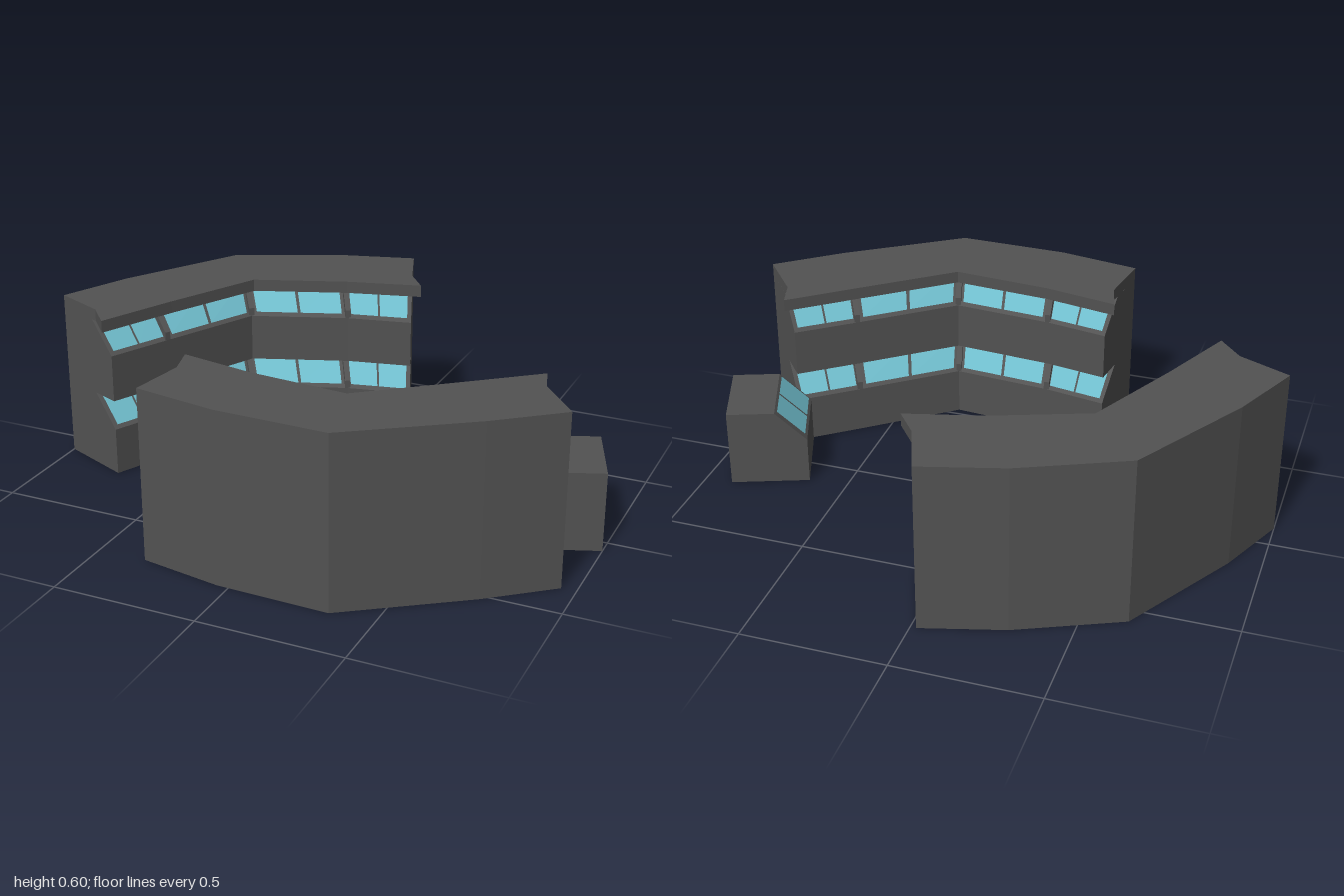
import * as THREE from 'three';

const concrete = new THREE.MeshStandardMaterial({ color: 0x525252 });
concrete.name = 'dark grey concrete';
concrete.flatShading = true;
const glass = new THREE.MeshStandardMaterial({ color: 0x6fbccb });
glass.name = 'blue glass';
glass.side = THREE.DoubleSide;

const SLOPE = 0.11; // depth and height of each leaning window band

// Plan points [x, z], listed along the building with the window side on the right.
const backBlock = {
  outer: [[-1, 0.1], [-0.89, -0.15], [-0.65, -0.56], [-0.3, -0.72], [-0.02, -0.8]],
  sill: [[-0.745, 0.21], [-0.645, -0.01], [-0.485, -0.355], [-0.15, -0.48], [0.08, -0.53]],
  eave: [[-0.74, 0.27], [-0.62, 0], [-0.46, -0.33], [-0.14, -0.45], [0.12, -0.52]],
  notch: [[-0.82, 0.18], [0.05, -0.61]],
};
const frontBlock = {
  outer: [[0.95, 0.35], [0.74, 0.52], [0.35, 0.79], [-0.04, 0.78], [-0.33, 0.73]],
  sill: [[0.78, 0.14], [0.595, 0.285], [0.29, 0.53], [-0.065, 0.5], [-0.29, 0.46]],
  eave: [[0.79, 0.09], [0.58, 0.26], [0.28, 0.5], [-0.07, 0.47], [-0.33, 0.42]],
  notch: [[0.82, 0.19], [-0.3, 0.53]],
};
const boothPlan = {
  outer: [[0.9, -0.21], [1, 0.06]],
  sill: [[0.64, -0.11], [0.74, 0.16]],
};

// Point at station i: depth 0 is the sill line, positive depth goes towards the outer wall.
function at(plan, i, depth, y) {
  const [ox, oz] = plan.outer[i];
  const [sx, sz] = plan.sill[i];
  const len = Math.hypot(ox - sx, oz - sz);
  const k = depth === null ? 1 : depth / len;
  return new THREE.Vector3(sx + (ox - sx) * k, y, sz + (oz - sz) * k);
}

function meshFrom(triangles, material, name) {
  const geometry = new THREE.BufferGeometry().setFromPoints(triangles);
  geometry.computeVertexNormals();
  const mesh = new THREE.Mesh(geometry, material);
  mesh.name = name;
  return mesh;
}

// Sweep a [depth, y] profile through all stations and cap both ends.
function sweep(plan, profile, name) {
  const rings = plan.outer.map((_, i) => profile.map(([d, y]) => at(plan, i, d, y)));
  const tris = [];
  const n = profile.length;
  for (let i = 0; i < rings.length - 1; i++) {
    for (let j = 0; j < n; j++) {
      const a = rings[i][j], b = rings[i + 1][j];
      const c = rings[i + 1][(j + 1) % n], d = rings[i][(j + 1) % n];
      tris.push(a, b, c, a, c, d);
    }
  }
  const flat = profile.map(([d, y]) => new THREE.Vector2(d === null ? -0.28 : -d, y));
  const last = rings[rings.length - 1];
  for (const [a, b, c] of THREE.ShapeUtils.triangulateShape(flat, [])) {
    tris.push(rings[0][a], rings[0][b], rings[0][c], last[a], last[c], last[b]);
  }
  return meshFrom(tris, concrete, name);
}

// Two panes per segment, lying just in front of the leaning wall.
function windowPanes(plan, y, name) {
  const tris = [];
  for (let i = 0; i < plan.outer.length - 1; i++) {
    const low0 = at(plan, i, 0, y), low1 = at(plan, i + 1, 0, y);
    const top0 = at(plan, i, SLOPE, y + SLOPE), top1 = at(plan, i + 1, SLOPE, y + SLOPE);
    const normal = low1.clone().sub(low0).cross(top0.clone().sub(low0)).normalize();
    const point = (t, v) => low0.clone().lerp(low1, t)
      .lerp(top0.clone().lerp(top1, t), v).addScaledVector(normal, 0.005);
    for (const [t0, t1] of [[0.06, 0.485], [0.515, 0.94]]) {
      const a = point(t0, 0.1), b = point(t1, 0.1), c = point(t1, 0.95), d = point(t0, 0.95);
      tris.push(a, b, c, a, c, d);
    }
  }
  return meshFrom(tris, glass, name);
}

// Slanted rib between two window segments.
function rib(plan, i, y) {
  const shape = new THREE.Shape([[0, 0], [0, 0.03], [-0.08, SLOPE], [-SLOPE, SLOPE]]
    .map(([x, h]) => new THREE.Vector2(x, h)));
  const width = 0.02;
  const geometry = new THREE.ExtrudeGeometry(shape, { depth: width, bevelEnabled: false });
  geometry.translate(0, 0, -width / 2);
  const right = at(plan, i, -1, 0).sub(at(plan, i, 0, 0));
  const up = new THREE.Vector3(0, 1, 0);
  const basis = new THREE.Matrix4().makeBasis(right, up, right.clone().cross(up));
  basis.setPosition(at(plan, i, 0, y));
  geometry.applyMatrix4(basis);
  const mesh = new THREE.Mesh(geometry, concrete);
  mesh.name = 'windowRib';
  return mesh;
}

// Flat roof slab with flared eave tips.
function roof(plan) {
  const outline = [...plan.outer, plan.notch[1], ...[...plan.eave].reverse(), plan.notch[0]];
  const shape = new THREE.Shape(outline.map(([x, z]) => new THREE.Vector2(x, -z)));
  const geometry = new THREE.ExtrudeGeometry(shape, { depth: 0.043, bevelEnabled: false });
  geometry.rotateX(-Math.PI / 2);
  const mesh = new THREE.Mesh(geometry, concrete);
  mesh.position.y = 0.56;
  mesh.name = 'roof';
  return mesh;
}

function block(plan, name) {
  const group = new THREE.Group();
  group.name = name;
  group.add(sweep(plan, [
    [null, 0], [0, 0], [0, 0.17], [SLOPE, 0.28], [0, 0.28], [0, 0.45], [SLOPE, 0.56], [null, 0.56],
  ], 'walls'));
  group.add(roof(plan));
  for (const [y, label] of [[0.17, 'lowerWindows'], [0.45, 'upperWindows']]) {
    group.add(windowPanes(plan, y, label));
    for (let i = 1; i < plan.outer.length - 1; i++) group.add(rib(plan, i, y));
  }
  return group;
}

export function createModel() {
  const model = new THREE.Group();
  model.name = 'curvedBuildings';
  model.add(block(backBlock, 'backBuilding'), block(frontBlock, 'frontBuilding'));

  // Small booth with one leaning window
  const booth = new THREE.Group();
  booth.name = 'booth';
  booth.add(sweep(boothPlan, [[null, 0], [0, 0], [0, 0.17], [SLOPE, 0.28], [null, 0.28]], 'boothWalls'));
  booth.add(windowPanes(boothPlan, 0.17, 'boothWindow'));
  model.add(booth);
  return model;
}
